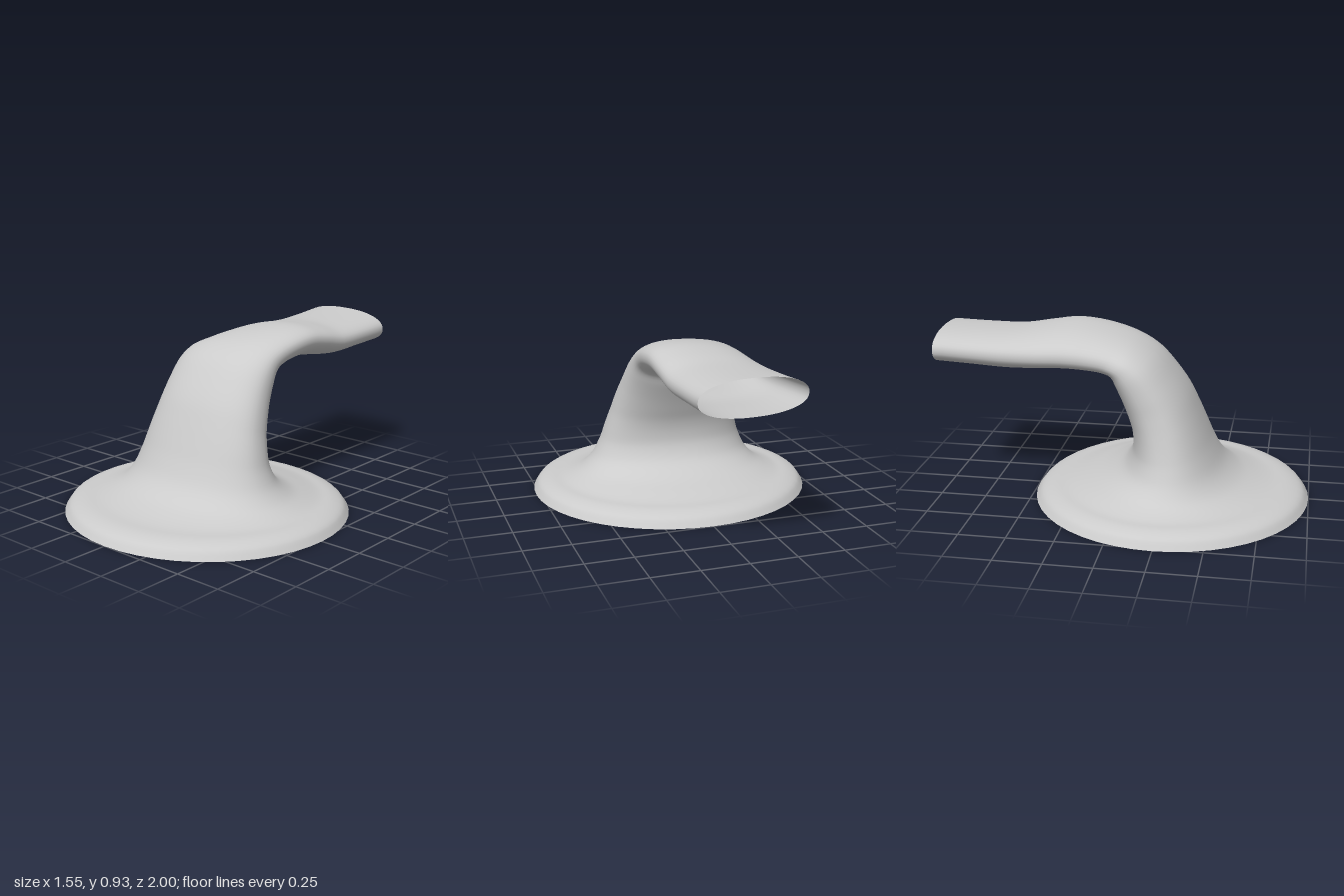
import * as THREE from 'three';

// Stations along the shell, from the base rim up the neck and out to the open end:
// [front y, front z, back y, back z, right-hand -x extent, +x extent, tilt]
const STATIONS = [
  [0, 1, 0, -0.5, 0.775, 0.775, 0],
  [0.045, 0.965, 0.045, -0.465, 0.745, 0.745, 0],
  [0.07, 0.9, 0.07, -0.405, 0.69, 0.69, 0],
  [0.08, 0.8, 0.08, -0.33, 0.62, 0.62, 0],
  [0.1, 0.71, 0.105, -0.23, 0.555, 0.56, 0],
  [0.135, 0.62, 0.14, -0.11, 0.5, 0.5, 0],
  [0.2, 0.54, 0.2, -0.01, 0.45, 0.44, 0],
  [0.3, 0.48, 0.28, 0.037, 0.41, 0.395, 0],
  [0.4, 0.435, 0.35, 0.045, 0.385, 0.37, 0],
  [0.5, 0.39, 0.42, 0.036, 0.365, 0.345, 0],
  [0.6, 0.34, 0.49, 0.012, 0.35, 0.325, 0],
  [0.7, 0.27, 0.56, -0.015, 0.343, 0.305, 0],
  [0.8, 0.18, 0.64, -0.05, 0.335, 0.288, 0],
  [0.86, 0.08, 0.695, -0.075, 0.318, 0.277, 0.005],
  [0.895, -0.03, 0.713, -0.12, 0.287, 0.277, 0.015],
  [0.92, -0.18, 0.725, -0.21, 0.265, 0.284, 0.025],
  [0.926, -0.31, 0.73, -0.32, 0.257, 0.286, 0.028],
  [0.912, -0.45, 0.72, -0.45, 0.258, 0.285, 0.02],
  [0.898, -0.6, 0.706, -0.6, 0.262, 0.281, 0.005],
  [0.9, -0.8, 0.715, -0.8, 0.27, 0.276, 0],
  [0.91, -1, 0.724, -1, 0.28, 0.27, -0.005],
];
const COLS = 48;
const ROWS = 80;

// Softly squared sine/cosine for the cross-sections of the neck
const soft = (v, power) => Math.sign(v) * Math.pow(Math.abs(v), power);

function shellGeometry() {
  const curve = (pick) =>
    new THREE.CatmullRomCurve3(STATIONS.map((s) => new THREE.Vector3(...pick(s))));
  const front = curve((s) => [0, s[0], s[1]]);
  const back = curve((s) => [0, s[2], s[3]]);
  const sides = curve((s) => [s[4], s[5], s[6]]);

  const positions = [];
  const index = [];
  for (let i = 0; i <= ROWS; i++) {
    const t = i / ROWS;
    const f = front.getPoint(t);
    const b = back.getPoint(t);
    const w = sides.getPoint(t);
    // Round at the base, slightly squared along the neck
    const power = 1 - 0.12 * THREE.MathUtils.smoothstep(t, 0.2, 0.45);
    for (let j = 0; j < COLS; j++) {
      const a = (j / COLS) * Math.PI * 2;
      const c = soft(Math.cos(a), power);
      const s = soft(Math.sin(a), power);
      const k = (1 + c) / 2;
      positions.push(
        s * (s < 0 ? w.x : w.y),
        b.y + (f.y - b.y) * k + w.z * s,
        b.z + (f.z - b.z) * k
      );
      if (i < ROWS) {
        const p = i * COLS + j;
        const q = i * COLS + ((j + 1) % COLS);
        index.push(p, q, p + COLS, q, q + COLS, p + COLS);
      }
    }
  }
  const geometry = new THREE.BufferGeometry();
  geometry.setAttribute('position', new THREE.Float32BufferAttribute(positions, 3));
  geometry.setIndex(index);
  geometry.computeVertexNormals();
  return geometry;
}

export function createModel() {
  const group = new THREE.Group();
  group.name = 'flangedSpout';
  // One open shell: round flange, rising neck and flattened spout
  const shell = new THREE.Mesh(
    shellGeometry(),
    new THREE.MeshStandardMaterial({ color: 0xcccccc, side: THREE.DoubleSide })
  );
  shell.name = 'flangeNeckAndSpout';
  group.add(shell);
  return group;
}
